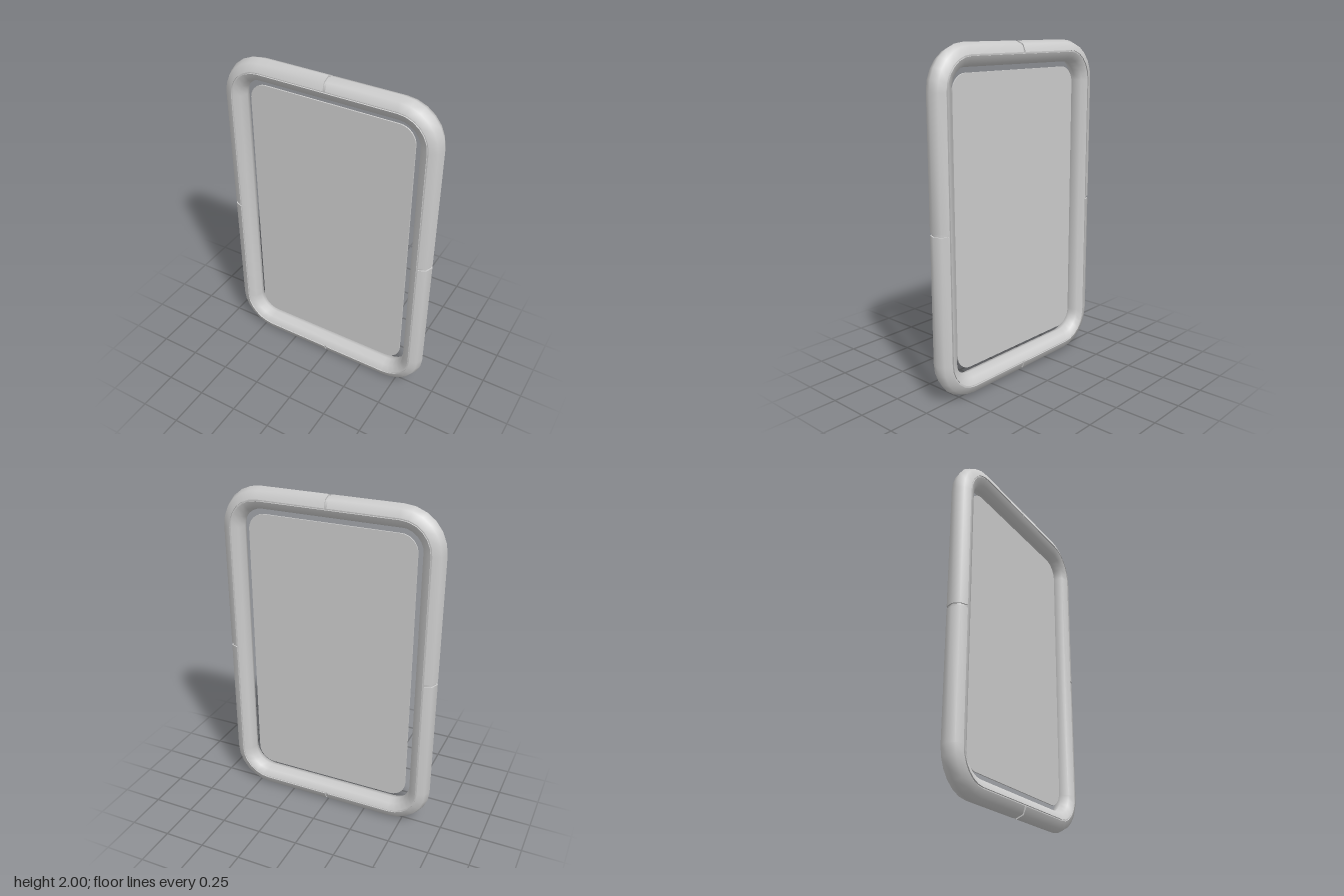
import * as THREE from 'three';
import { toCreasedNormals } from 'three/addons/utils/BufferGeometryUtils.js';

const HALF_W = 0.6, HALF_H = 0.935;   // centreline of the frame tube
const CORNER = 0.18, STEPS = 6, GAP = 0.008;

const material = new THREE.MeshStandardMaterial({ color: 0xcccccc });

// Corner of the centreline, clockwise; each point is [x, y, angle of outward normal]
function cornerArc(q) {
  const sx = q < 2 ? 1 : -1, sy = q === 0 || q === 3 ? 1 : -1;
  return Array.from({ length: STEPS + 1 }, (_, i) => {
    const a = (Math.PI / 2) * (1 - q - i / STEPS);
    return [sx * (HALF_W - CORNER) + CORNER * Math.cos(a), sy * (HALF_H - CORNER) + CORNER * Math.sin(a), a];
  });
}

// Arc of an octagon as [outward offset, z] points
function section(from, sides, offset, rd, rz) {
  return Array.from({ length: sides }, (_, i) => {
    const a = from + (i * Math.PI) / 4;
    return [offset + rd * Math.cos(a), rz * Math.sin(a)];
  });
}

// Sweep a closed section along the path; open paths get end caps
function sweep(path, profile, closed) {
  const m = profile.length, n = path.length, pos = [], idx = [];
  for (const [x, y, a] of path)
    for (const [d, z] of profile) pos.push(x + d * Math.cos(a), y + d * Math.sin(a), z);
  for (let i = 0; i < (closed ? n : n - 1); i++) {
    const k = (i + 1) % n;
    for (let j = 0; j < m; j++) {
      const l = (j + 1) % m;
      idx.push(i * m + j, i * m + l, k * m + j, i * m + l, k * m + l, k * m + j);
    }
  }
  if (!closed) {
    const e = (n - 1) * m;
    for (let j = 1; j < m - 1; j++) idx.push(0, j + 1, j, e, e + j, e + j + 1);
  }
  const g = new THREE.BufferGeometry();
  g.setAttribute('position', new THREE.Float32BufferAttribute(pos, 3));
  g.setIndex(idx);
  return toCreasedNormals(g, 0.95);
}

function roundedRect(w, h, r) {
  const s = new THREE.Shape();
  s.absarc(w - r, h - r, r, 0, Math.PI / 2);
  s.absarc(-w + r, h - r, r, Math.PI / 2, Math.PI);
  s.absarc(-w + r, -h + r, r, Math.PI, Math.PI * 1.5);
  s.absarc(w - r, -h + r, r, Math.PI * 1.5, Math.PI * 2);
  s.closePath();
  return s;
}

export function createModel() {
  const group = new THREE.Group();
  group.name = 'roundedFrame';
  const add = (name, geometry) => {
    const mesh = new THREE.Mesh(geometry, material);
    mesh.name = name;
    mesh.position.y = 1;
    group.add(mesh);
    return mesh;
  };
  const loop = [0, 1, 2, 3].flatMap(cornerArc);

  // Slim core, seen only in the grooves
  add('frameCore', sweep(loop, section(0, 8, 0, 0.056, 0.056), true));

  // Inner half of the tube, one continuous ring
  add('innerRing', sweep(loop, section(Math.PI / 2, 5, -0.007, 0.058, 0.0625), true));

  // Outer half of the tube, four corner sleeves with small gaps between
  const quarter = [[GAP, HALF_H, Math.PI / 2], ...cornerArc(0), [HALF_W, GAP, 0]];
  const sleeve = sweep(quarter, section(-Math.PI / 2, 5, 0.003, 0.062, 0.0625), false);
  const turns = {
    outerSleeveTopLeft: [0, 0, 0],
    outerSleeveTopRight: [0, Math.PI, 0],
    outerSleeveBottomLeft: [Math.PI, 0, 0],
    outerSleeveBottomRight: [0, 0, Math.PI],
  };
  for (const [name, turn] of Object.entries(turns)) add(name, sleeve).rotation.set(...turn);

  // Thin panel floating inside the frame
  const panel = new THREE.ExtrudeGeometry(roundedRect(0.507, 0.84, 0.1), {
    depth: 0.008, bevelEnabled: false, curveSegments: 8,
  });
  panel.translate(0, 0, -0.004);
  add('panel', panel);

  return group;
}
